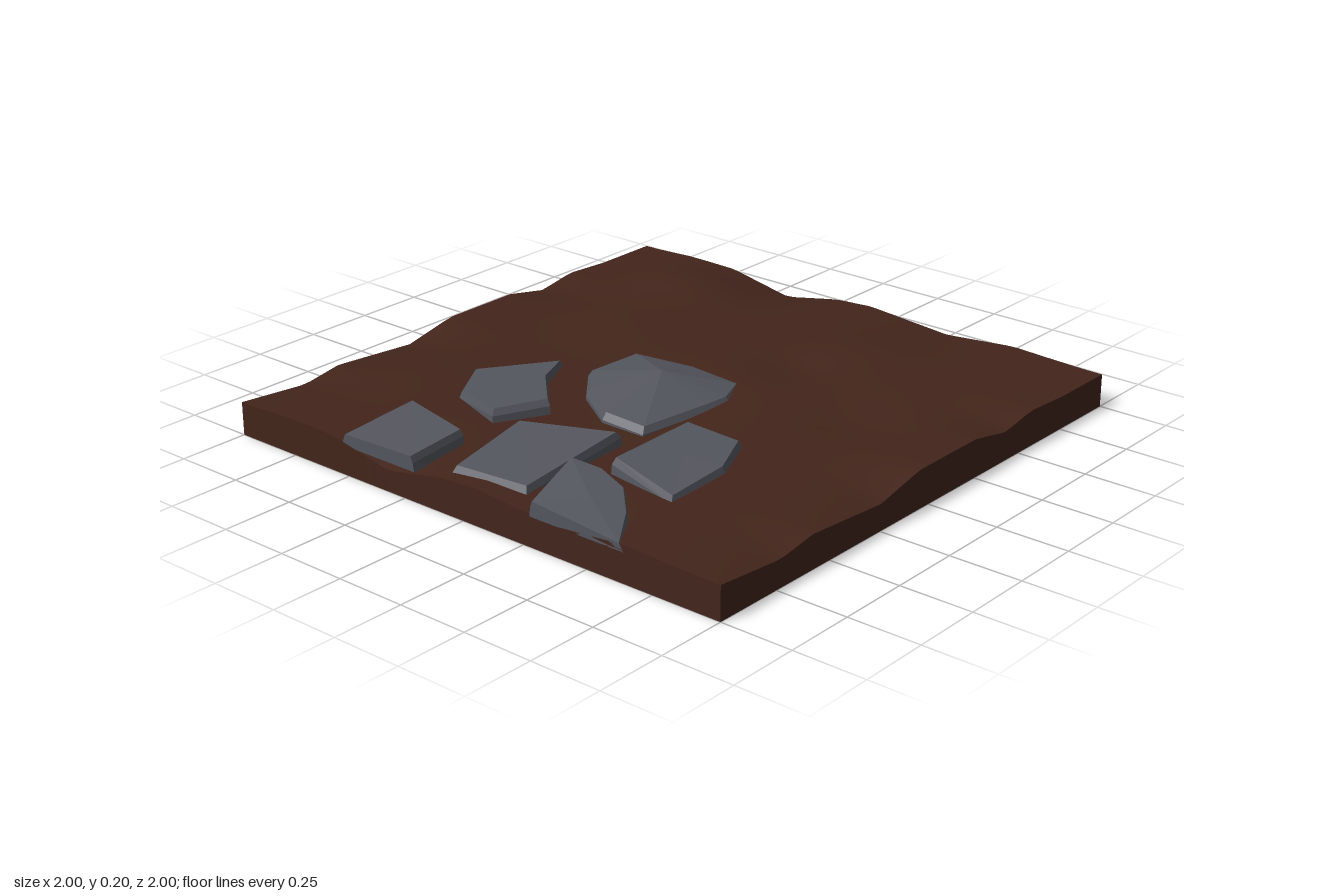
import * as THREE from 'three';

const soil = new THREE.MeshStandardMaterial({ color: 0x43251b, side: THREE.DoubleSide });
const rock = new THREE.MeshStandardMaterial({ color: 0x54565e, side: THREE.DoubleSide, flatShading: true });

// Height profiles along the tile's edges: [position, height]
const edgeX = [[-1, 0.115], [-0.73, 0.092], [-0.58, 0.115], [-0.25, 0.09], [-0.05, 0.132], [0.25, 0.132],
  [0.42, 0.1], [0.57, 0.125], [0.75, 0.115], [1, 0.115]];
const edgeZ = [[-1, 0.115], [-0.8, 0.125], [-0.57, 0.12], [-0.32, 0.072], [-0.1, 0.115], [0.05, 0.125],
  [0.38, 0.1], [0.65, 0.125], [1, 0.115]];
// Gentle mounds and hollows: x, z, height, radius
const mounds = [[0.78, -0.57, 0.042, 0.22], [0.2, 0.1, 0.022, 0.25], [0.6, 0.3, 0.02, 0.25], [0.35, 0.2, -0.02, 0.13],
  [0.15, 0.6, -0.015, 0.15], [-0.45, -0.75, 0.012, 0.2], [-0.6, 0.1, -0.012, 0.4], [0.35, -0.5, 0.015, 0.25]];

function profile(points, t) {
  for (let i = 1; i < points.length; i++) {
    const [a, ha] = points[i - 1], [b, hb] = points[i];
    if (t <= b) return ha + (hb - ha) * (t - a) / (b - a);
  }
  return points[points.length - 1][1];
}

function groundHeight(x, z) {
  let h = 0.122;
  for (const [mx, mz, top, r] of mounds) h += top * Math.exp(-((x - mx) ** 2 + (z - mz) ** 2) / (r * r));
  const pull = t => Math.max(0, (Math.abs(t) - 0.6) / 0.4) ** 2;
  h += (profile(edgeZ, z) - h) * pull(x);
  return h + (profile(edgeX, x) - h) * pull(z);
}

// Strip of quads between two rings of points
function strip(lower, upper, closed) {
  const out = [], n = lower.length;
  for (let i = 0; i < (closed ? n : n - 1); i++) {
    const j = (i + 1) % n;
    out.push(lower[i], lower[j], upper[j], lower[i], upper[j], upper[i]);
  }
  return out;
}

function meshOf(points, material, name) {
  const geometry = new THREE.BufferGeometry().setFromPoints(points);
  geometry.computeVertexNormals();
  const mesh = new THREE.Mesh(geometry, material);
  mesh.name = name;
  return mesh;
}

// Outlines seen from above: x, z, height of the top rim; peak is the top's middle point
const stones = [
  { peak: [-0.08, 0, 0.203], rim: [[-0.37, 0, 0.145], [-0.27, -0.16, 0.155], [-0.16, -0.25, 0.165], [0.05, -0.23, 0.168],
    [0.11, -0.02, 0.155], [0.12, 0.17, 0.14], [0, 0.22, 0.142], [-0.1, 0.21, 0.142], [-0.37, 0.17, 0.14]] },
  { peak: [-0.73, 0.03, 0.15], rim: [[-0.95, -0.09, 0.138], [-0.6, -0.145, 0.162], [-0.46, 0.16, 0.16], [-0.92, 0.19, 0.138]] },
  { peak: [-0.88, 0.41, 0.16], rim: [[-1, 0.28, 0.152], [-0.77, 0.23, 0.203], [-0.74, 0.33, 0.185], [-0.76, 0.44, 0.16],
    [-0.86, 0.54, 0.142], [-1, 0.64, 0.125]] },
  { peak: [-0.39, -0.38, 0.151], rim: [[-0.34, -0.6, 0.135], [-0.11, -0.41, 0.145], [-0.26, -0.34, 0.152], [-0.43, -0.17, 0.166],
    [-0.6, -0.26, 0.16], [-0.53, -0.48, 0.142]] },
  { peak: [-0.86, -0.36, 0.15], rim: [[-1, -0.52, 0.14], [-0.68, -0.54, 0.15], [-0.77, -0.22, 0.162], [-1, -0.21, 0.15]] },
  { peak: [-0.46, 0.41, 0.155], rim: [[-0.64, 0.28, 0.166], [-0.27, 0.27, 0.165], [-0.25, 0.47, 0.148], [-0.43, 0.55, 0.142], [-0.69, 0.56, 0.135]] },
];

// Hollow paving stone: sunken skirt, narrow bevel and faceted top
function pavingStone({ peak, rim }, index) {
  const [cx, cz, cy] = peak;
  const ring = (scale, height) => rim.map(([x, z, y]) =>
    new THREE.Vector3(x === -1 ? -1 : cx + (x - cx) * scale, height(x, y), cz + (z - cz) * scale));
  const foot = ring(1.03, x => (x === -1 ? 0.1 : 0.06));
  const middle = ring(1, (x, y) => y - 0.022);
  const top = ring(0.94, (x, y) => y);
  const centre = new THREE.Vector3(cx, cy, cz);
  const cap = top.flatMap((p, i) => [centre, p, top[(i + 1) % top.length]]);
  // Rim runs clockwise from above, so each triangle is reversed to face outwards
  const points = [...strip(foot, middle, true), ...strip(middle, top, true), ...cap];
  for (let i = 0; i < points.length; i += 3) [points[i + 1], points[i + 2]] = [points[i + 2], points[i + 1]];
  return meshOf(points, rock, 'pavingStone' + (index + 1));
}

export function createModel() {
  const group = new THREE.Group();
  group.name = 'stonePathTile';

  // Uneven earth surface
  const surface = new THREE.PlaneGeometry(2, 2, 48, 48).rotateX(-Math.PI / 2);
  const pos = surface.attributes.position;
  for (let i = 0; i < pos.count; i++) pos.setY(i, groundHeight(pos.getX(i), pos.getZ(i)));
  surface.computeVertexNormals();
  const ground = new THREE.Mesh(surface, soil);
  ground.name = 'groundSurface';
  group.add(ground);

  // Four side walls, open underneath
  const sides = { front: t => [t, 1], back: t => [-t, -1], left: t => [1, -t], right: t => [-1, t] };
  for (const [side, at] of Object.entries(sides)) {
    const lower = [], upper = [];
    for (let i = 0; i <= 48; i++) {
      const [x, z] = at(-1 + i / 24);
      lower.push(new THREE.Vector3(x, 0, z));
      upper.push(new THREE.Vector3(x, groundHeight(x, z), z));
    }
    group.add(meshOf(strip(lower, upper, false), soil, side + 'Wall'));
  }

  // Stones set into the earth
  stones.forEach((stone, i) => group.add(pavingStone(stone, i)));
  return group;
}
